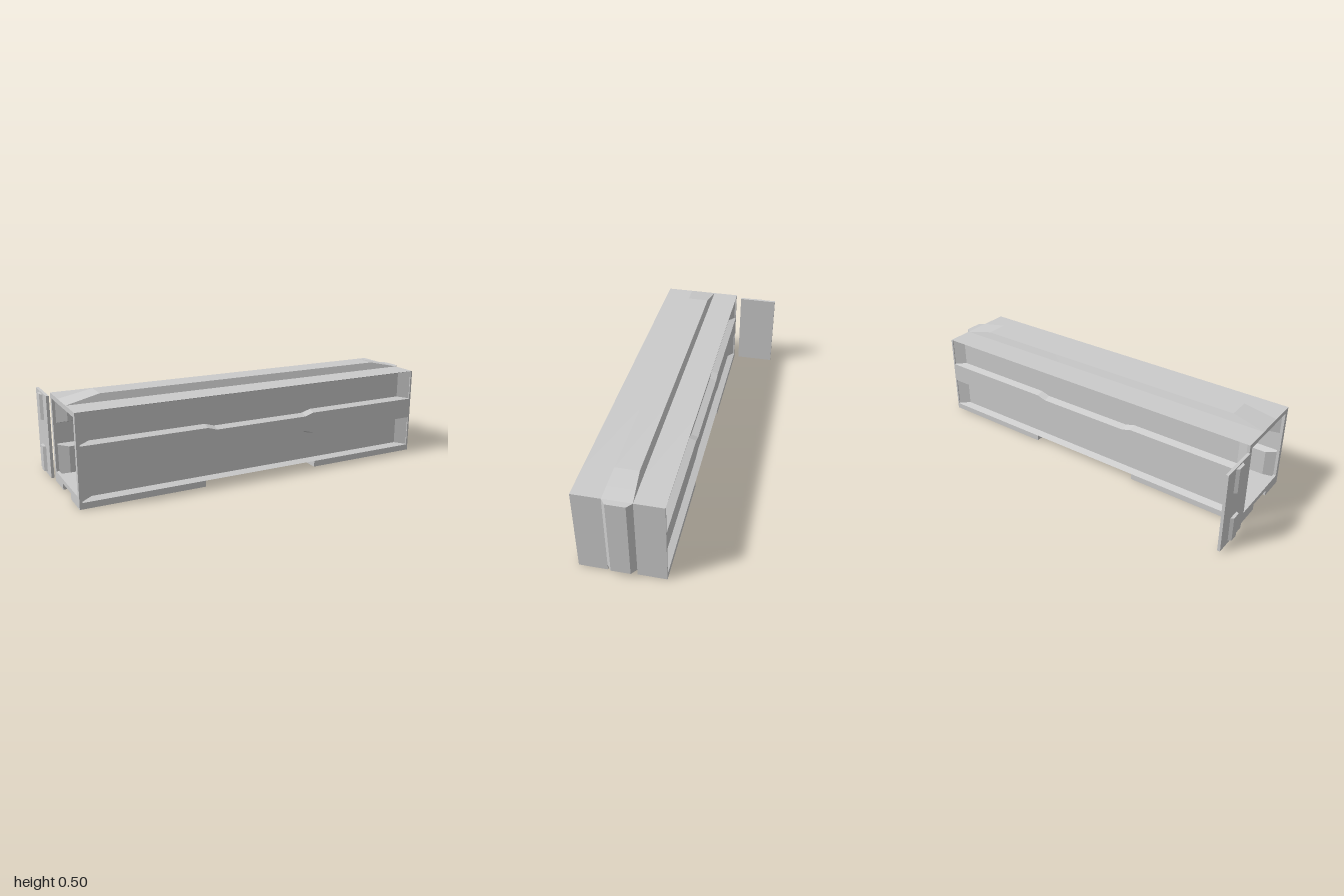
import * as THREE from 'three';

const CZ = 0.1225;      // middle of the container in z
const HALF = 0.2175;    // half depth of the container
const END = 0.97;       // half length of the container
const Y0 = 0.032, Y1 = 0.465;

const grey = new THREE.MeshStandardMaterial({ color: 0xcccccc, flatShading: true, side: THREE.DoubleSide });

function add(parent, name, geometry, x = 0, y = 0, z = 0) {
  const mesh = new THREE.Mesh(geometry, grey);
  mesh.name = name;
  mesh.position.set(x, y, z);
  parent.add(mesh);
  return mesh;
}

// Box given by its limits
function block(parent, name, x0, x1, y0, y1, z0, z1) {
  return add(parent, name, new THREE.BoxGeometry(x1 - x0, y1 - y0, z1 - z0),
    (x0 + x1) / 2, (y0 + y1) / 2, (z0 + z1) / 2);
}

// Cross-section of the shell at x: pressed side panels, middle rib and roof ridge
function section(x) {
  const a = Math.abs(x);
  const side = Math.min(1, (END - a) / 0.07);
  const roof = Math.min(1, (END - a) / 0.17);
  const wide = THREE.MathUtils.clamp((a - 0.26) / 0.05, 0, 1);
  const depth = 0.037 * side, slope = 0.012 * side;
  const low = 0.21 - 0.014 * wide, high = 0.29 + 0.015 * wide;
  const wall = [
    [0, Y0], [depth, Y0 + slope], [depth, low - slope], [0, low],
    [0, high], [depth, high + slope], [depth, Y1 - slope], [0, Y1],
  ];
  const front = wall.map(([d, y]) => [CZ + HALF - d, y]);
  const back = wall.map(([d, y]) => [CZ - HALF + d, y]).reverse();
  const w = 0.0725, top = w - 0.013 * roof, y = Y1 + 0.037 * roof;
  const ridge = [[CZ + w, Y1], [CZ + top, y], [CZ - top, y], [CZ - w, Y1]];
  return [...front, ...ridge, ...back].map(([z, yy]) => [x, yy, z]);
}

// Lofts closed sections along x
function loft(stations) {
  const rows = stations.map(section);
  const n = rows[0].length, index = [];
  rows.slice(1).forEach((row, i) => {
    for (let j = 0; j < n; j++) {
      const k = (j + 1) % n;
      const a = i * n + j, b = i * n + k, c = a + n, d = b + n;
      index.push(a, c, b, b, c, d);
    }
  });
  const geometry = new THREE.BufferGeometry();
  geometry.setAttribute('position', new THREE.Float32BufferAttribute(rows.flat(2), 3));
  geometry.setIndex(index);
  const flat = geometry.toNonIndexed();
  flat.computeVertexNormals();
  return flat;
}

// Upright bar along y whose plan is a trapezoid, standing out in +x
function trapezoidBar(wide, narrow, depth, height) {
  const plan = new THREE.Shape([
    new THREE.Vector2(0, -wide / 2), new THREE.Vector2(depth, -narrow / 2),
    new THREE.Vector2(depth, narrow / 2), new THREE.Vector2(0, wide / 2),
  ]);
  return new THREE.ExtrudeGeometry(plan, { depth: height, bevelEnabled: false }).rotateX(-Math.PI / 2);
}

export function createModel() {
  const model = new THREE.Group();
  model.name = 'cargoContainer';

  // Hollow body
  const body = new THREE.Group();
  body.name = 'body';
  model.add(body);
  const half = [0.26, 0.31, 0.8, 0.9, END];
  add(body, 'shell', loft([...half.map((x) => -x).reverse(), ...half]));

  // Closed end with its upright rib
  block(body, 'endWall', END - 0.01, END, Y0, Y1, CZ - HALF, CZ + HALF);
  add(body, 'endRib', trapezoidBar(0.145, 0.097, 0.03, Y1 - Y0), END, Y0, CZ);

  // Frame round the open end
  const w = HALF, t = 0.025, h = (Y1 - Y0) / 2;
  const rect = (C, a, b) => new C([[-a, -b], [a, -b], [a, b], [-a, b]].map(([u, v]) => new THREE.Vector2(u, v)));
  const frame = rect(THREE.Shape, w, h);
  frame.holes.push(rect(THREE.Path, w - t, h - t));
  add(body, 'openEndFrame',
    new THREE.ExtrudeGeometry(frame, { depth: 0.015, bevelEnabled: false }).rotateY(Math.PI / 2),
    -END, (Y0 + Y1) / 2, CZ);

  // Skids under the four corners
  for (const s of [-1, 1]) {
    for (const k of [-1, 1]) {
      const xs = [s * 0.325, s * END].sort((a, b) => a - b);
      const zs = [CZ + k * 0.0725, CZ + k * HALF].sort((a, b) => a - b);
      block(body, 'skid', xs[0], xs[1], 0, Y0, zs[0], zs[1]);
    }
  }

  // Detached door panel, with two raised handles on its outer face
  const door = new THREE.Group();
  door.name = 'door';
  model.add(door);
  block(door, 'doorPanel', -0.985, -0.97, 0.006, 0.442, -0.338, -0.123);
  for (const y of [0.02, 0.3]) {
    const handle = add(door, 'doorHandle', trapezoidBar(0.066, 0.044, 0.015, 0.135), -0.985, y, -0.23);
    handle.rotation.y = Math.PI;
  }
  return model;
}
